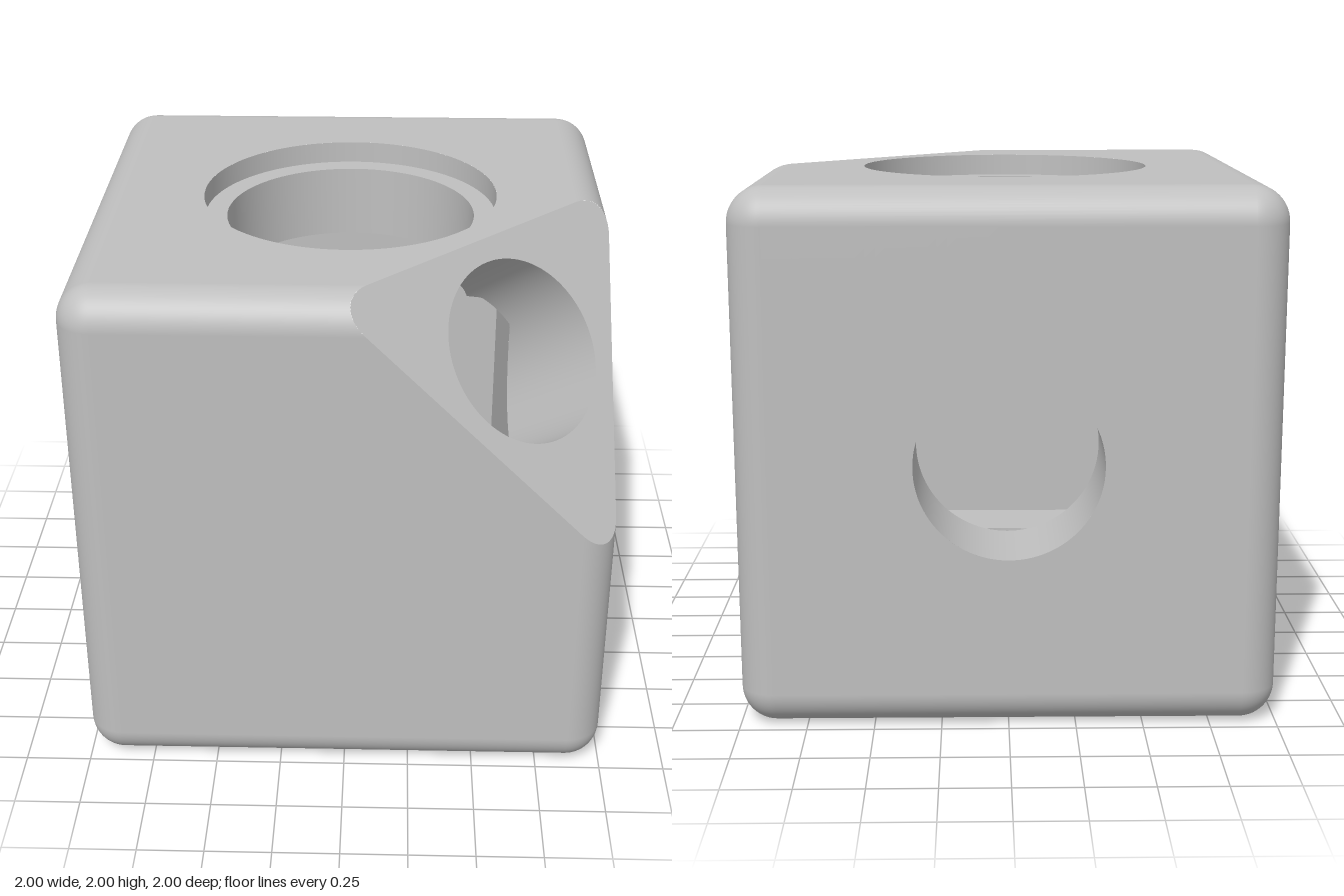
import * as THREE from 'three';
import { RoundedBoxGeometry } from 'three/addons/geometries/RoundedBoxGeometry.js';

// All sizes are for a cube centred on the origin with half side 1.
const FILLET = 0.135;
const HOLE = 0.347;          // side, bottom and corner holes
const TOP_HOLE = 0.48;
const RECESS = 0.565;        // shallow step around the top hole
const RECESS_Y = 0.915;
const INNER = 0.63;          // half side of the hollow
const CORNER = 1.945 / Math.sqrt(3);            // distance of the cut corner
const INNER_CORNER = CORNER - (1 - INNER);

const V = (x, y, z) => new THREE.Vector3(x, y, z);
const X = V(1, 0, 0), Y = V(0, 1, 0), Z = V(0, 0, 1);
const DIAGONAL = V(1, 1, 1).normalize();

// Rules that are positive where a surface is kept
const insideCut = p => CORNER - p.dot(DIAGONAL);
const insideInnerCut = p => INNER_CORNER - p.dot(DIAGONAL);
const outsideTunnel = p => p.distanceTo(DIAGONAL.clone().multiplyScalar(Math.max(p.dot(DIAGONAL), 0))) - HOLE;
const outsideTopHole = p => Math.hypot(p.x, p.z) - TOP_HOLE;
const outsideHollow = p => Math.max(p.x - INNER, p.y - INNER, p.z - INNER, -insideInnerCut(p));
const insideHollowBox = p => INNER - Math.max(p.x, p.y, p.z);
const insideRoundedBox = p => {
  const q = [p.x, p.y, p.z].map(c => Math.max(Math.abs(c) - 1 + FILLET, 0));
  return FILLET - Math.hypot(...q);
};
// Hole of radius r running outwards along an axis
const outsideHole = (axis, r) => p => p.clone().addScaledVector(axis, -p.dot(axis)).length() - r;

// Trims a geometry to the region where every rule is positive
function trim(geometry, rules) {
  const g = geometry.index ? geometry.toNonIndexed() : geometry;
  const pos = g.attributes.position, nor = g.attributes.normal;
  const outP = [], outN = [];
  for (let i = 0; i < pos.count; i += 3) {
    let poly = [0, 1, 2].map(k => ({
      p: V().fromBufferAttribute(pos, i + k),
      n: V().fromBufferAttribute(nor, i + k).normalize(),
    }));
    for (const rule of rules) {
      const next = [];
      poly.forEach((a, k) => {
        const b = poly[(k + 1) % poly.length];
        const keepA = rule(a.p) >= 0, keepB = rule(b.p) >= 0;
        if (keepA) next.push(a);
        if (keepA === keepB) return;
        let lo = 0, hi = 1;
        for (let s = 0; s < 22; s++) {
          const mid = (lo + hi) / 2;
          if ((rule(a.p.clone().lerp(b.p, mid)) >= 0) === keepA) lo = mid; else hi = mid;
        }
        next.push({ p: a.p.clone().lerp(b.p, lo), n: a.n.clone().lerp(b.n, lo).normalize() });
      });
      poly = next;
    }
    for (let k = 1; k + 1 < poly.length; k++) {
      for (const v of [poly[0], poly[k], poly[k + 1]]) {
        outP.push(v.p.x, v.p.y, v.p.z);
        outN.push(v.n.x, v.n.y, v.n.z);
      }
    }
  }
  const result = new THREE.BufferGeometry();
  result.setAttribute('position', new THREE.Float32BufferAttribute(outP, 3));
  result.setAttribute('normal', new THREE.Float32BufferAttribute(outN, 3));
  return result;
}

const turn = (geometry, from, to) =>
  geometry.applyQuaternion(new THREE.Quaternion().setFromUnitVectors(from, to));

// Flat sheet (facing +z) moved to a distance along dir; sign -1 faces it inwards
function sheet(geometry, dir, distance, sign) {
  const d = dir.clone().multiplyScalar(distance);
  return turn(geometry, Z, dir.clone().multiplyScalar(sign)).translate(d.x, d.y, d.z);
}

// Inward-facing surface of revolution around dir, from the outer end to the inner end
function bore(dir, r0, h0, r1, h1, steps = 1) {
  const points = [];
  for (let i = 0; i <= steps; i++) {
    const t = i / steps;
    points.push(new THREE.Vector2(r0 + (r1 - r0) * t, h0 + (h1 - h0) * t));
  }
  return turn(new THREE.LatheGeometry(points, 96), Y, dir);
}

export function createModel() {
  const group = new THREE.Group();
  const body = new THREE.Group();
  body.name = 'hollowCube';
  body.position.y = 1;
  group.add(body);

  const grey = new THREE.MeshStandardMaterial({ color: 0xbfbfbf });
  grey.name = 'plain grey';
  const add = (name, geometry, rules = []) => {
    const mesh = new THREE.Mesh(rules.length ? trim(geometry, rules) : geometry, grey);
    mesh.name = name;
    body.add(mesh);
  };

  // Six walls: outer face, inner face and, where present, the hole through it
  const walls = [
    { name: 'left', dir: X },
    { name: 'right', dir: X.clone().negate(), hole: HOLE },
    { name: 'front', dir: Z },
    { name: 'back', dir: Z.clone().negate(), hole: HOLE },
    { name: 'bottom', dir: Y.clone().negate(), hole: HOLE },
    { name: 'top', dir: Y, hole: TOP_HOLE, outerHole: RECESS },
  ];
  for (const { name, dir, hole, outerHole = hole } of walls) {
    const outer = 2 * (1 - FILLET), inner = 2 * INNER;
    const outerRules = [insideCut], innerRules = [insideInnerCut, outsideTunnel];
    if (hole) {
      outerRules.push(outsideHole(dir, outerHole));
      innerRules.push(outsideHole(dir, hole));
    }
    const n = hole ? 48 : 1;
    add(name + 'OuterFace', sheet(new THREE.PlaneGeometry(outer, outer, n, n), dir, 1, 1), outerRules);
    add(name + 'InnerFace', sheet(new THREE.PlaneGeometry(inner, inner, 48, 48), dir, INNER, -1), innerRules);
    if (hole && name !== 'top') add(name + 'Hole', bore(dir, hole, 1, hole, INNER));
  }

  // Rounded edges: a rounded box without its flat faces
  const flatOff = p => 1 - 1e-5 - Math.max(Math.abs(p.x), Math.abs(p.y), Math.abs(p.z));
  const box = new RoundedBoxGeometry(2, 2, 2, 8, FILLET);
  const kept = { position: [], normal: [] };
  const source = box.index ? box.toNonIndexed() : box;
  for (let i = 0; i < source.attributes.position.count; i += 3) {
    const centre = V();
    for (let k = 0; k < 3; k++) centre.add(V().fromBufferAttribute(source.attributes.position, i + k));
    if (flatOff(centre.divideScalar(3)) < 0) continue;
    for (const key in kept) {
      for (let k = 0; k < 9; k++) kept[key].push(source.attributes[key].array[i * 3 + k]);
    }
  }
  const edges = new THREE.BufferGeometry();
  for (const key in kept) edges.setAttribute(key, new THREE.Float32BufferAttribute(kept[key], 3));
  add('roundedEdges', edges, [insideCut]);

  // Top hole with its stepped recess, broken into by the corner tunnel
  add('topRecess', bore(Y, RECESS, 1, RECESS, RECESS_Y));
  add('topLip', bore(Y, RECESS, RECESS_Y, TOP_HOLE, RECESS_Y));
  add('topHole', bore(Y, TOP_HOLE, RECESS_Y, TOP_HOLE, INNER, 16), [outsideTunnel]);

  // Cut corner outside and inside, with the diagonal tunnel between them
  add('cornerFace', sheet(new THREE.RingGeometry(HOLE, 0.95, 96, 24), DIAGONAL, CORNER, 1), [insideRoundedBox]);
  add('innerCornerFace', sheet(new THREE.RingGeometry(HOLE, 0.6, 96, 8), DIAGONAL, INNER_CORNER, -1),
    [insideHollowBox, outsideTopHole]);
  add('cornerTunnel', bore(DIAGONAL, HOLE, CORNER, HOLE, 0.4, 40), [outsideHollow, outsideTopHole]);

  return group;
}
